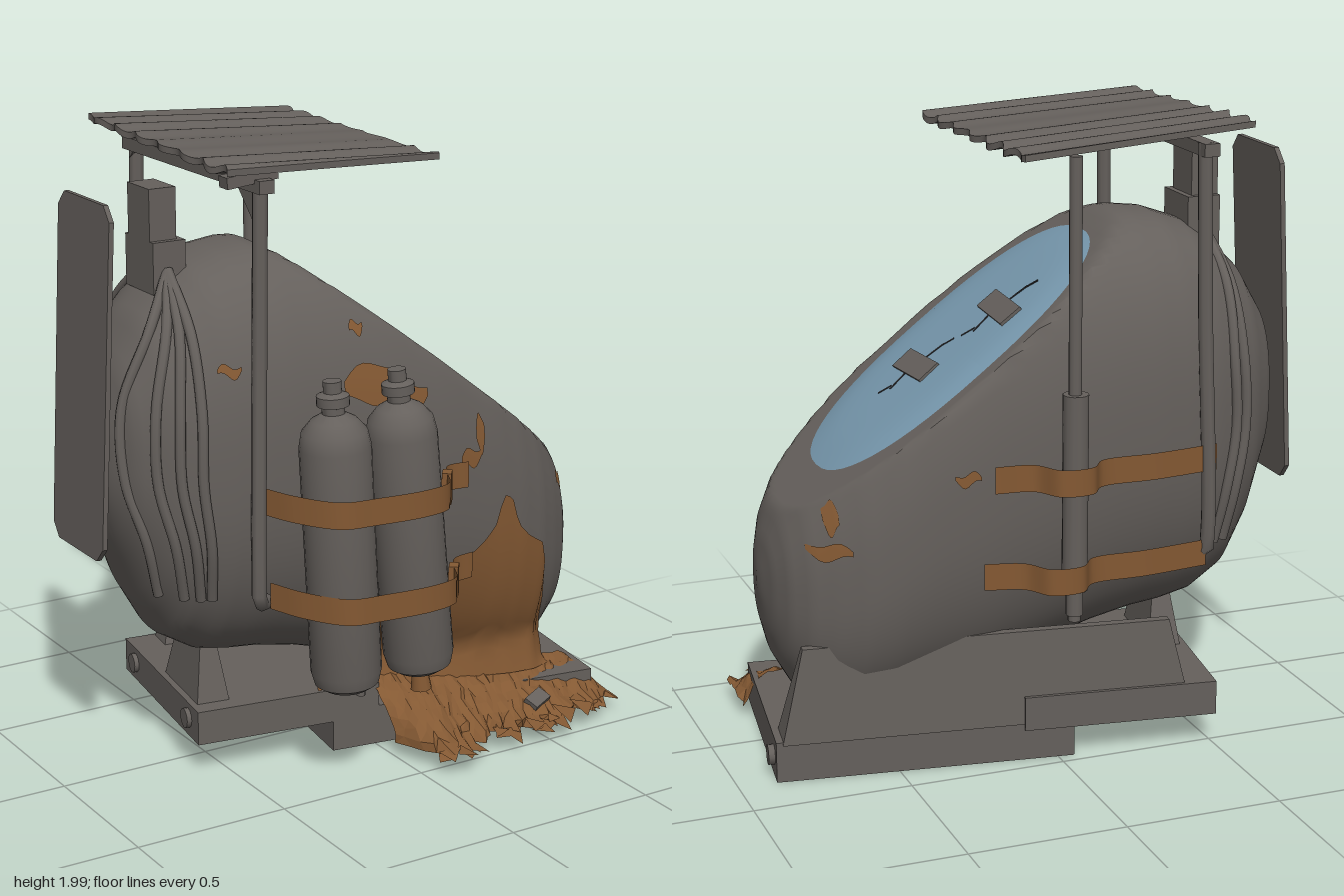
import * as THREE from 'three';
import { toCreasedNormals } from 'three/addons/utils/BufferGeometryUtils.js';

const V = (x, y, z) => new THREE.Vector3(x, y, z);
const pts2 = list => list.map(p => new THREE.Vector2(...p));
const ZC = -0.055, N_TOP = 2.5, N_LOW = 2.25, SLOPE = 0.77, PLANE = 1.418;
// Hull stations: x, bottom y, top y, half width
const S = [[-0.862, 1.05, 1.05, 0], [-0.86, 1.0, 1.1, 0.03], [-0.845, 0.9, 1.2, 0.11], [-0.8, 0.76, 1.34, 0.21],
  [-0.72, 0.55, 1.47, 0.29], [-0.65, 0.43, 1.54, 0.335], [-0.55, 0.37, 1.61, 0.375], [-0.45, 0.35, 1.645, 0.395],
  [-0.35, 0.34, 1.657, 0.407], [-0.2, 0.31, 1.65, 0.415], [0, 0.25, 1.63, 0.42], [0.2, 0.19, 1.55, 0.42], [0.4, 0.16, 1.38, 0.405],
  [0.5, 0.14, 1.25, 0.39], [0.6, 0.13, 1.11, 0.36], [0.68, 0.15, 1.0, 0.315], [0.75, 0.21, 0.89, 0.265],
  [0.8, 0.3, 0.79, 0.2], [0.83, 0.4, 0.7, 0.12], [0.845, 0.52, 0.6, 0.03], [0.847, 0.56, 0.56, 0]];

// Linear lookup in a table sorted by its first column
function lookup(table, x) {
  let i = 0;
  while (i < table.length - 2 && table[i + 1][0] < x) i++;
  const f = THREE.MathUtils.clamp((x - table[i][0]) / (table[i + 1][0] - table[i][0]), 0, 1);
  return table[i].map((a, k) => a + (table[i + 1][k] - a) * f);
}
// z of the hull skin at a given x and y
function surf(x, y, side = 1, lift = 0.012) {
  const [, b, t, w] = lookup(S, x);
  const r = (y - (b + t) / 2) / ((t - b) / 2), n = r > 0 ? N_TOP : N_LOW;
  return ZC + side * (w * Math.pow(1 - Math.min(1, Math.abs(r)) ** n, 1 / n) + lift);
}
function grid(nu, nv, fn) {
  const pos = [], idx = [];
  for (let i = 0; i <= nu; i++) for (let j = 0; j <= nv; j++) pos.push(...fn(i / nu, j / nv, i, j));
  for (let i = 0; i < nu; i++) for (let j = 0; j < nv; j++) {
    const a = i * (nv + 1) + j, b = a + nv + 1;
    idx.push(a, b, a + 1, b, b + 1, a + 1);
  }
  const g = new THREE.BufferGeometry();
  g.setAttribute('position', new THREE.Float32BufferAttribute(pos, 3));
  g.setIndex(idx);
  g.computeVertexNormals();
  return g;
}
const spow = (v, p) => Math.sign(v) * Math.abs(v) ** p;

export function createModel() {
  const root = new THREE.Group();
  const mat = (name, color, side = THREE.FrontSide) => Object.assign(new THREE.MeshStandardMaterial({ color, side }), { name });
  const metal = mat('weathered metal', 0x65605c);
  const sheet = mat('sheet metal', 0x65605c, THREE.DoubleSide);
  const rust = mat('rust brown', 0x845933, THREE.DoubleSide);
  const blue = mat('window blue', 0x7697ac, THREE.DoubleSide);
  const dark = mat('crack dark', 0x2a2a2c);
  let seed = 7;
  const rnd = () => (seed = (seed * 16807) % 2147483647) / 2147483647;
  const add = (name, geo, m = metal, parent = root) => {
    const o = new THREE.Mesh(geo, m);
    o.name = name;
    parent.add(o);
    return o;
  };
  const box = (name, w, h, d, x, y, z, parent = root, m = metal) => {
    const o = add(name, new THREE.BoxGeometry(w, h, d), m, parent);
    o.position.set(x, y, z);
    return o;
  };
  const rod = (name, a, b, r, parent = root) => {
    const o = add(name, new THREE.CylinderGeometry(r, r, a.distanceTo(b), 12), metal, parent);
    o.position.copy(a).lerp(b, 0.5);
    o.quaternion.setFromUnitVectors(V(0, 1, 0), b.clone().sub(a).normalize());
    return o;
  };
  const tube = (name, pts, r) => add(name, new THREE.TubeGeometry(
    new THREE.CatmullRomCurve3(pts.map(p => V(...p))), 28, r, 8), metal);
  const plate = (points, depth) => new THREE.ExtrudeGeometry(new THREE.Shape(pts2(points)), { depth, bevelEnabled: false });

  // Hull: superellipse rings along x, sliced by the sloping window plane
  const rings = (S.length - 1) * 4;
  add('hull', toCreasedNormals(grid(rings, 88, (u, v, i) => {
    const k = Math.min(Math.floor(i / 4), S.length - 2), f = i / 4 - k;
    const [x, b, t, w] = S[k].map((a, q) => a + (S[k + 1][q] - a) * f);
    const a = v * Math.PI * 2, p = 2 / (v < 0.5 ? N_TOP : N_LOW);
    const y = (b + t) / 2 + (t - b) / 2 * spow(Math.sin(a), p);
    return [x, Math.min(y, PLANE - SLOPE * x), ZC + w * spow(Math.cos(a), p)];
  }), 0.9));

  // Window: a shallow dome on the slope, with tape over two cracks
  const win = new THREE.Group();
  win.name = 'window';
  const ang = Math.atan(SLOPE), c = Math.cos(ang), s = Math.sin(ang);
  win.applyMatrix4(new THREE.Matrix4().makeBasis(V(0, 0, -1), V(-c, s, 0), V(s, c, 0)).setPosition(0.211, PLANE - SLOPE * 0.211, ZC));
  root.add(win);
  add('glass', grid(8, 56, (r, v) => {
    const a = v * Math.PI * 2, q = 2 / 2.4;
    return [r * 0.317 * spow(Math.cos(a), q), r * 0.562 * spow(Math.sin(a), q), 0.02 * (1 - r ** 6) - 0.001];
  }), blue, win);
  for (const [x, y, tilt] of [[0.085, 0.185, -0.04], [-0.01, -0.12, 0.06]]) {
    box('tape', 0.225, 0.08, 0.01, x, y, 0.022, win).rotation.z = tilt;
    for (const d of [1, -1]) {
      box('crack', 0.008, 0.08, 0.005, x + d * 0.008, y + d * 0.07, 0.018, win, dark).rotation.z = -d * 0.2;
      box('crack', 0.007, 0.05, 0.005, x + d * 0.025, y + d * 0.12, 0.018, win, dark).rotation.z = -0.5;
    }
  }

  // Rotated base with stepped blocks, cradle and fin
  const base = new THREE.Group();
  base.name = 'base';
  base.position.z = -0.113;
  base.rotation.y = -0.14;
  root.add(base);
  box('frontBase', 0.94, 0.13, 0.68, 0.37, 0.065, 0, base);
  box('rearBase', 0.62, 0.11, 0.69, -0.25, 0.155, -0.005, base);
  const frustum = (name, x0, x1, z0, z1, y0, y1, inX, inBack, inFront) => {
    const g = new THREE.BoxGeometry(x1 - x0, y1 - y0, z1 - z0), p = g.attributes.position;
    for (let i = 0; i < p.count; i++) if (p.getY(i) > 0)
      p.setXYZ(i, p.getX(i) - Math.sign(p.getX(i)) * inX, p.getY(i), p.getZ(i) + (p.getZ(i) < 0 ? inBack : -inFront));
    g.computeVertexNormals();
    add(name, g, metal, base).position.set((x0 + x1) / 2, (y0 + y1) / 2, (z0 + z1) / 2);
  };
  frustum('rearCradle', -0.48, 0.82, -0.345, -0.22, 0.12, 0.42, 0.07, 0.025, 0.07);
  frustum('fin', -0.54, -0.43, -0.02, 0.28, 0.2, 0.48, 0.04, 0.08, 0.06);
  for (const [x, y, z] of [[0.845, 0.07, -0.28], [-0.56, 0.16, -0.25], [-0.56, 0.16, 0.25]])
    rod('bolt', V(x - 0.015, y, z), V(x + 0.015, y, z), 0.032, base);
  rod('supportPipe', V(-0.08, 0.2, 0.27), V(-0.08, 0.5, 0.27), 0.014);

  // Gas tanks
  const tankProfile = pts2([[0, 0], [0.07, 0], [0.1, 0.02], [0.11, 0.06], [0.11, 0.78], [0.1, 0.83], [0.07, 0.865], [0.035, 0.885],
    [0.035, 0.905], [0.05, 0.91], [0.05, 0.94], [0.028, 0.95], [0.028, 0.985], [0, 0.985]]);
  for (const [x, y, z, tilt, nozzle] of [[-0.25, 0.335, 0.46, 0.055, 0], [0.01, 0.345, 0.47, 0.095, 1]]) {
    const tank = new THREE.Group();
    tank.name = 'tank';
    tank.position.set(x, y, z);
    tank.rotation.z = tilt;
    root.add(tank);
    add('tankShell', toCreasedNormals(new THREE.LatheGeometry(tankProfile, 24), 0.7), metal, tank);
    if (nozzle) add('nozzle', new THREE.CylinderGeometry(0.024, 0.034, 0.07, 10), rust, tank).position.y = -0.035;
  }

  // Straps around the tanks and around the far post
  for (const y of [0.93, 0.62]) {
    const dx = y < 0.8 ? 0.03 : 0;
    const ribbon = (name, pts, drop) => {
      const path = new THREE.CatmullRomCurve3(pts.map(p => V(p[0] + dx, 0, p[1])));
      add(name, grid(48, 1, (u, v) => {
        const p = path.getPoint(u);
        return [p.x, y + 0.012 - drop * u + (v - 0.5) * 0.085, p.z];
      }), rust);
    };
    ribbon('tankStrap', [[-0.48, 0.34], [-0.43, 0.46], [-0.34, 0.572], [-0.22, 0.585], [-0.04, 0.586], [0.06, 0.55],
      [0.12, 0.44], [0.17, 0.385], [0.25, surf(0.25 + dx, y) + 0.005]], 0.03);
    box('strapBuckle', 0.045, 0.1, 0.03, 0.115 + dx, y - 0.015, 0.455, root, rust).rotation.y = 0.9;
    ribbon('rearStrap', [[0.22, surf(0.22, y, -1)], [0.1, -0.5], [0.04, -0.576], [-0.06, -0.576], [-0.12, -0.51],
      [-0.3, -0.5], [-0.52, -0.47]], 0.01);
  }

  // Roof posts and beams
  tube('frontPost', [[-0.465, 1.92, 0.325], [-0.475, 1.4, 0.33], [-0.495, 0.7, 0.35], [-0.49, 0.62, 0.345], [-0.44, 0.6, 0.3]], 0.024);
  tube('rearPost', [[-0.465, 1.92, -0.455], [-0.475, 1.4, -0.46], [-0.495, 0.7, -0.47], [-0.49, 0.62, -0.455], [-0.44, 0.6, -0.4]], 0.024);
  rod('sidePost', V(-0.015, 1.92, -0.53), V(-0.02, 0.48, -0.53), 0.02);
  rod('postSleeve', V(-0.02, 1.2, -0.53), V(-0.02, 0.58, -0.53), 0.04);
  rod('postFoot', V(-0.02, 0.58, -0.53), V(-0.02, 0.5, -0.53), 0.027);
  box('roofBeam', 0.05, 0.04, 0.87, -0.47, 1.9, -0.06);
  box('roofRail', 0.17, 0.035, 0.05, -0.5, 1.925, 0.32).rotation.z = 0.1;
  for (const [z, d, l] of [[0.33, -1, 0.15], [-0.455, 1, 0.04]]) {
    const o = add('roofGusset', plate([[0, 0], [l, 0], [0, -l]], 0.02), sheet);
    o.position.set(-0.47, 1.895, z);
    o.rotation.y = -d * Math.PI / 2;
  }

  // Corrugated roof: two skins with an uneven wavy section
  const roofAt = (u, v, off) => {
    const z = 0.355 - v * 0.905 - u * (0.03 + 0.01 * v);
    const wave = (0.005 + 0.003 * Math.sin(v * 9 + 1)) * Math.sin(v * Math.PI * 14 + 0.8 * Math.sin(v * 7) + u);
    return [-0.59 + u * 0.75 + 0.01 * Math.sin(v * 40), 1.95 - 0.035 * u + 0.03 * v * (1 - 0.5 * u) + wave + off, z];
  };
  for (const [name, off] of [['roofTop', 0.01], ['roofUnderside', -0.01]])
    add(name, grid(6, 80, (u, v) => roofAt(u, v, off)), sheet);
  for (const e of [0, 1]) {
    add('roofEnd', grid(1, 80, (u, v) => roofAt(e, v, 0.01 - 0.02 * u)), sheet);
    add('roofSide', grid(6, 1, (u, v) => roofAt(u, e, 0.01 - 0.02 * v)), sheet);
  }

  // Rear panel with clipped corners, and the vent box
  const panel = add('rearPanel', plate([[-0.17, -0.5], [-0.13, -0.545], [0.13, -0.545], [0.17, -0.5], [0.17, 0.5], [0.13, 0.545],
    [-0.13, 0.545], [-0.17, 0.5]], 0.016));
  panel.rotation.set(0, Math.PI / 2, -0.05, 'ZYX');
  panel.position.set(-0.873, 1.29, -0.06);
  box('ventBox', 0.09, 0.17, 0.14, -0.615, 1.765, -0.07);
  box('ventNeck', 0.11, 0.16, 0.18, -0.605, 1.61, -0.07);

  // Hoses fanning from the vent over the rear of the hull
  for (const [side, mid, low] of [[1, -0.64, -0.6], [1, -0.695, -0.63], [1, -0.75, -0.67], [1, -0.815, -0.72], [-1, -0.61, -0.56], [-1, -0.65, -0.6]]) {
    const on = (x, y) => [x, y, surf(x, y, side, 0.006)];
    tube('hose', [[-0.61, 1.6, ZC + side * 0.07], on(mid * 0.5 - 0.31, 1.44), on(mid, 1.22), on(mid - 0.005, 1.0), on((mid + low) / 2, 0.8), on(low, 0.62)], 0.017);
  }

  // Rust drape over the hull side, flowing onto the base
  const drapeTop = [[-0.19, 0.33], [-0.05, 0.4], [0.11, 0.49], [0.17, 0.57], [0.26, 0.62], [0.33, 0.67], [0.375, 0.72], [0.4, 0.81], [0.44, 0.8],
    [0.47, 0.7], [0.52, 0.65], [0.6, 0.6], [0.63, 0.36], [0.68, 0.18]];
  add('rustDrape', grid(48, 14, (u, v) => {
    const x = -0.19 + u * 0.87, y = THREE.MathUtils.lerp(lookup(drapeTop, x)[1], 0.2 - 0.06 * u, v);
    return [x, y, Math.max(surf(x, Math.max(y, 0.28), 1, 0.008), 0.16) + 0.04 * v ** 3];
  }), rust);

  // Ragged debris apron spilling over the base; its right end droops over the corner
  const edge = [[0, 0.38], [0.05, 0.5], [0.11, 0.57], [0.2, 0.51], [0.3, 0.47], [0.5, 0.49], [0.7, 0.44], [0.85, 0.43]];
  const apron = grid(42, 8, (u, v, i, j) => {
    const x = u * 0.84, rag = j > 6 ? (rnd() - 0.5) * 0.08 : 0;
    const top = 0.215 - 0.075 * u, low = 0.045 + 0.02 * (1 - u) * Math.sin(u * 12) ** 2;
    const droop = THREE.MathUtils.smoothstep(u, 0.93, 1) * 0.1 * (1 - v);
    return [x + (rnd() - 0.5) * 0.012, THREE.MathUtils.lerp(top, low, v ** 1.3) - droop + (rnd() - 0.5) * 0.014,
      THREE.MathUtils.lerp(0.19, lookup(edge, x)[1] + rag, v)];
  }).toNonIndexed();
  apron.computeVertexNormals();
  add('debrisApron', apron, rust);
  for (let i = 0; i < 18; i++) {
    const x = 0.06 + rnd() * 0.75;
    const o = add('debrisShard', new THREE.CircleGeometry(0.025 + rnd() * 0.03, 3), rust);
    o.position.set(x, 0.045 + rnd() * 0.03, lookup(edge, x)[1] + 0.01);
    o.rotation.set(-1.4 + rnd() * 0.3, (rnd() - 0.5) * 0.5, rnd() * 6);
  }
  box('metalChip', 0.08, 0.02, 0.05, 0.52, 0.1, 0.4).rotation.set(0.5, 0.4, 0);

  // Small rust spots on the hull: x, y, width, height, side
  for (const [x, y, w, h, side] of [[0.31, 1.03, 0.035, 0.13, 1], [0.27, 0.96, 0.08, 0.06, 1], [-0.09, 1.25, 0.2, 0.13, 1], [0.05, 1.19, 0.12, 0.08, 1],
    [-0.55, 1.34, 0.07, 0.035, 1], [-0.12, 1.42, 0.05, 0.04, 1], [0.73, 0.77, 0.04, 0.05, 1], [0.7, 0.73, 0.12, 0.05, -1],
    [0.69, 0.83, 0.04, 0.1, -1], [0.3, 0.95, 0.08, 0.04, -1], [0.705, 0.225, 0.06, 0.03, -1]])
    add('rustSpot', grid(8, 5, (u, v) => {
      const px = x + (u - 0.5) * w, py = y + (v - 0.5) * h * (0.3 + 0.7 * Math.sin(u * Math.PI)) + 0.01 * Math.sin(u * 7);
      return [px, py, surf(px, py, side, 0.006)];
    }), rust);

  return root;
}
